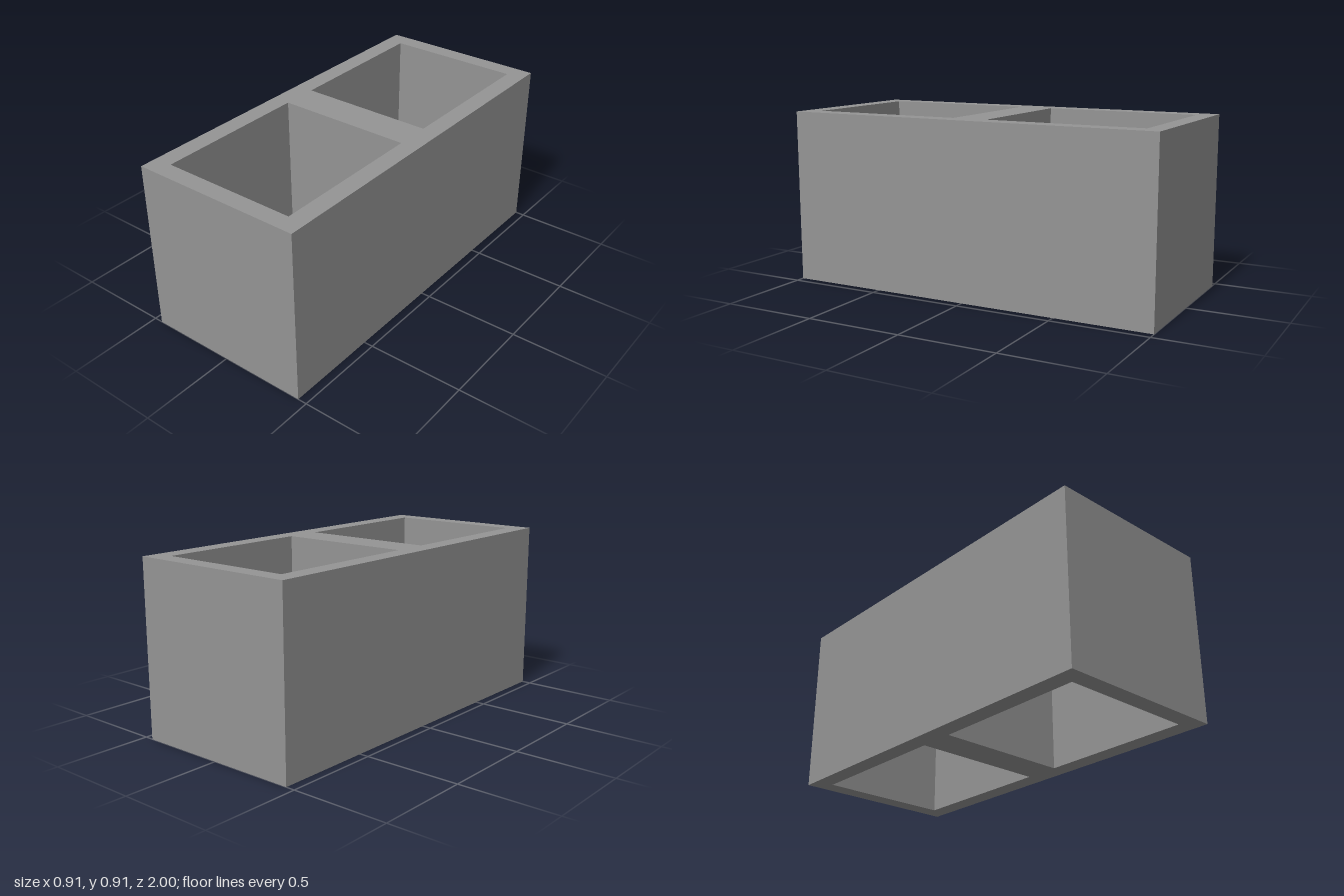
import * as THREE from 'three';

const WIDTH = 0.906, HEIGHT = 0.906, LENGTH = 2;
const HOLE_X = 0.357;                    // half width of each cavity
const HOLE_NEAR = 0.093, HOLE_FAR = 0.908; // cavity ends, measured from the centre

// Rectangle corners, counter-clockwise
const rectangle = (x0, y0, x1, y1) => [
  new THREE.Vector2(x0, y0), new THREE.Vector2(x1, y0),
  new THREE.Vector2(x1, y1), new THREE.Vector2(x0, y1),
];

export function createModel() {
  const concrete = new THREE.MeshStandardMaterial({ color: 0x949494 });
  concrete.name = 'concrete grey';

  // Block plan with two cavities that run right through
  const plan = new THREE.Shape(rectangle(-WIDTH / 2, -LENGTH / 2, WIDTH / 2, LENGTH / 2));
  for (const [near, far] of [[HOLE_NEAR, HOLE_FAR], [-HOLE_FAR, -HOLE_NEAR]]) {
    plan.holes.push(new THREE.Path(rectangle(-HOLE_X, near, HOLE_X, far).reverse()));
  }

  // Raise the plan upward from the ground
  const geometry = new THREE.ExtrudeGeometry(plan, { depth: HEIGHT, bevelEnabled: false });
  geometry.rotateX(-Math.PI / 2);

  const block = new THREE.Mesh(geometry, concrete);
  block.name = 'hollowBlock';

  const model = new THREE.Group();
  model.name = 'concreteBlock';
  model.add(block);
  return model;
}
